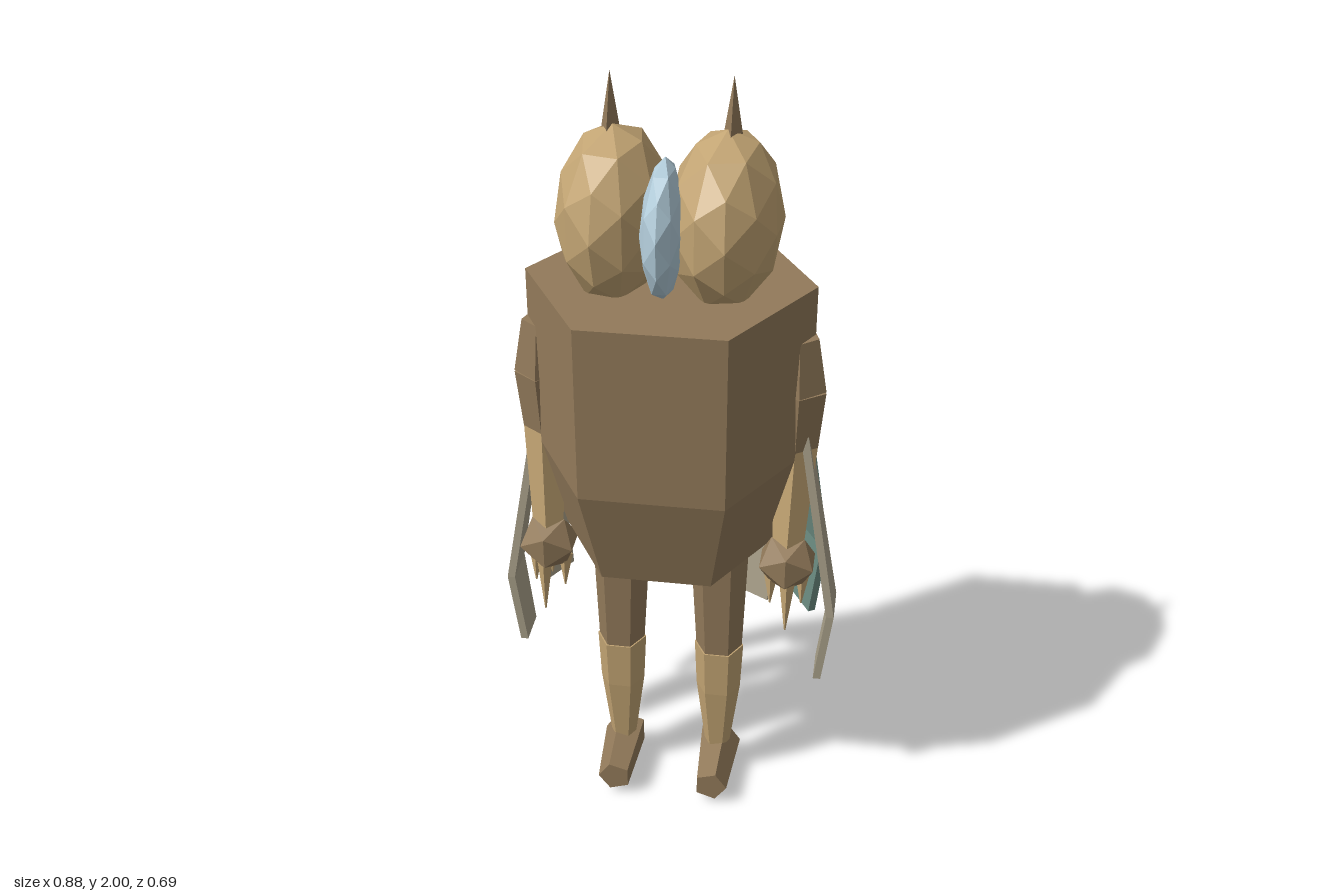
import * as THREE from 'three';

const mat = (name, color) => {
  const m = new THREE.MeshStandardMaterial({ color });
  m.name = name;
  return m;
};

// Faceted normals for the low-poly look
function flat(geo) {
  const g = geo.index ? geo.toNonIndexed() : geo;
  g.computeVertexNormals();
  return g;
}

function add(parent, name, geo, material) {
  const mesh = new THREE.Mesh(flat(geo), material);
  mesh.name = name;
  parent.add(mesh);
  return mesh;
}

// Tapered prism running from point a (radius ra) to point b (radius rb)
function limb(a, b, ra, rb, sides = 6, turn = 0) {
  const A = new THREE.Vector3(...a), B = new THREE.Vector3(...b);
  const dir = A.clone().sub(B);
  const geo = new THREE.CylinderGeometry(ra, rb, dir.length(), sides, 1, false, turn);
  geo.applyQuaternion(new THREE.Quaternion().setFromUnitVectors(new THREE.Vector3(0, 1, 0), dir.normalize()));
  return geo.translate(...A.add(B).multiplyScalar(0.5).toArray());
}

// Thin strip hanging from the body: flares outwards, then bends in at the tip
function feather(top, mid, bottom) {
  const geo = new THREE.BoxGeometry(1, 2, 0.02, 1, 2, 1);
  const rows = [
    { y: bottom, out: -0.025, w: 0.1 },
    { y: mid, out: 0, w: 0.112 },
    { y: top, out: -0.09, w: 0.055 },
  ];
  const p = geo.attributes.position;
  for (let i = 0; i < p.count; i++) {
    const r = rows[Math.round(p.getY(i)) + 1];
    p.setXYZ(i, p.getX(i) * r.w, r.y, p.getZ(i) + r.out - 0.01);
  }
  return geo;
}

export function createModel() {
  const brown = mat('brown', 0x927a5a);
  const tan = mat('tan', 0xc2a473);
  const beige = mat('beige', 0xa9a08a);
  const teal = mat('teal', 0x69897f);
  const blue = mat('pale blue', 0xb2ccda);

  const model = new THREE.Group();
  model.name = 'figure';
  const Z = 0.045; // body axis

  // Hexagonal torso with a tapered lower part
  const ring = (r, y) => [...Array(6)].map((_, i) => {
    const a = (i * Math.PI) / 3;
    return [Math.cos(a) * r, y, Z - Math.sin(a) * r];
  });
  const levels = [ring(0.272, 0.8), ring(0.35, 1.07), ring(0.35, 1.515)];
  const verts = [];
  for (let i = 0; i < 6; i++) {
    const j = (i + 1) % 6;
    for (let k = 0; k < 2; k++) {
      const [a, b, c, d] = [levels[k][i], levels[k][j], levels[k + 1][j], levels[k + 1][i]];
      verts.push(...a, ...b, ...c, ...a, ...c, ...d);
    }
    verts.push(0, 1.515, Z, ...levels[2][i], ...levels[2][j]);
    verts.push(0, 0.8, Z, ...levels[0][j], ...levels[0][i]);
  }
  const torso = new THREE.BufferGeometry();
  torso.setAttribute('position', new THREE.Float32BufferAttribute(verts, 3));
  add(model, 'torso', torso, brown);

  // Mirrored parts: head lobes, horns, arms and legs
  for (const s of [1, -1]) {
    const side = s > 0 ? 'left' : 'right';

    const lobe = new THREE.IcosahedronGeometry(1, 1);
    lobe.rotateY(s * 0.15);
    lobe.scale(0.135, 0.212, 0.21).translate(s * 0.131, 1.673, Z);
    add(model, side + 'HeadLobe', lobe, tan);

    // Four-sided horn with its base stretched forwards
    const horn = new THREE.ConeGeometry(1, 0.16, 4, 1);
    const hp = horn.attributes.position;
    for (let i = 0; i < hp.count; i++) {
      const z = hp.getZ(i);
      hp.setXYZ(i, hp.getX(i) * 0.026, hp.getY(i), z > 0.5 ? 0.065 : z * 0.012);
    }
    horn.translate(s * 0.14, 1.92, 0.02);
    add(model, side + 'Horn', horn, brown);

    // Arm
    const arm = new THREE.Group();
    arm.name = side + 'Arm';
    model.add(arm);
    add(arm, 'shoulder', limb([s * 0.317, 1.39, 0.055], [s * 0.322, 1.25, 0.052], 0.045, 0.065, 5), brown);
    add(arm, 'upperArm', limb([s * 0.322, 1.25, 0.052], [s * 0.317, 1.09, 0.045], 0.065, 0.056, 5), brown);
    add(arm, 'forearm', limb([s * 0.317, 1.09, 0.045], [s * 0.31, 0.82, 0.09], 0.056, 0.042, 5), tan);
    const hand = new THREE.IcosahedronGeometry(0.08, 0).translate(s * 0.31, 0.77, 0.1);
    add(arm, 'hand', hand, brown);
    const claws = [[0.35, 0.64, 0.1], [0.315, 0.64, 0.06], [0.27, 0.64, 0.11], [0.315, 0.59, 0.155]];
    for (const [x, y, z] of claws) {
      add(arm, 'claw', limb([s * x, 0.73, z - 0.015], [s * x, y, z], 0.02, 0.002, 4), tan);
    }

    // Leg
    const leg = new THREE.Group();
    leg.name = side + 'Leg';
    model.add(leg);
    const x = s * 0.133;
    add(leg, 'thigh', limb([s * 0.128, 0.95, Z], [x, 0.44, Z], 0.085, 0.062, 6, Math.PI / 6), brown);
    add(leg, 'shinUpper', limb([x, 0.44, Z], [x, 0.3, Z], 0.066, 0.06, 6, Math.PI / 6), tan);
    add(leg, 'shinLower', limb([x, 0.3, Z], [x, 0.1, Z], 0.06, 0.035, 6, Math.PI / 6), tan);
    add(leg, 'foot', limb([x, 0.06, 0.2], [x, 0.06, -0.005], 0.045, 0.06, 5, s * 0.3), brown);
  }

  // Beak wedged between the lobes, wider towards the front
  const beak = new THREE.IcosahedronGeometry(1, 1);
  const bp = beak.attributes.position;
  for (let i = 0; i < bp.count; i++) {
    const z = bp.getZ(i);
    bp.setXYZ(i, bp.getX(i) * 0.045 * (1 + 0.4 * z), bp.getY(i) * 0.166, z * 0.132);
  }
  beak.rotateX(-0.12).translate(0, 1.675, 0.133);
  add(model, 'beak', beak, blue);

  // Fan of feathers around the back: degrees from straight back, x, z, top, bottom, colour
  const feathers = [
    [-90, -0.44, 0.005, 1.13, 0.4, beige],
    [-60, -0.38, -0.18, 1.3, 0.49, beige],
    [-30, -0.222, -0.308, 1.07, 0.4, teal],
    [0, 0, -0.345, 1.07, 0.49, beige],
    [30, 0.218, -0.282, 1.07, 0.4, beige],
    [60, 0.378, -0.13, 1.3, 0.49, teal],
    [90, 0.438, 0.058, 1.13, 0.4, beige],
  ];
  feathers.forEach(([deg, x, z, top, bottom, material], i) => {
    const f = add(model, 'feather' + (i + 1), feather(top, bottom + 0.21, bottom), material);
    f.rotation.y = Math.PI - THREE.MathUtils.degToRad(deg);
    f.position.set(x, 0, z);
  });

  return model;
}
